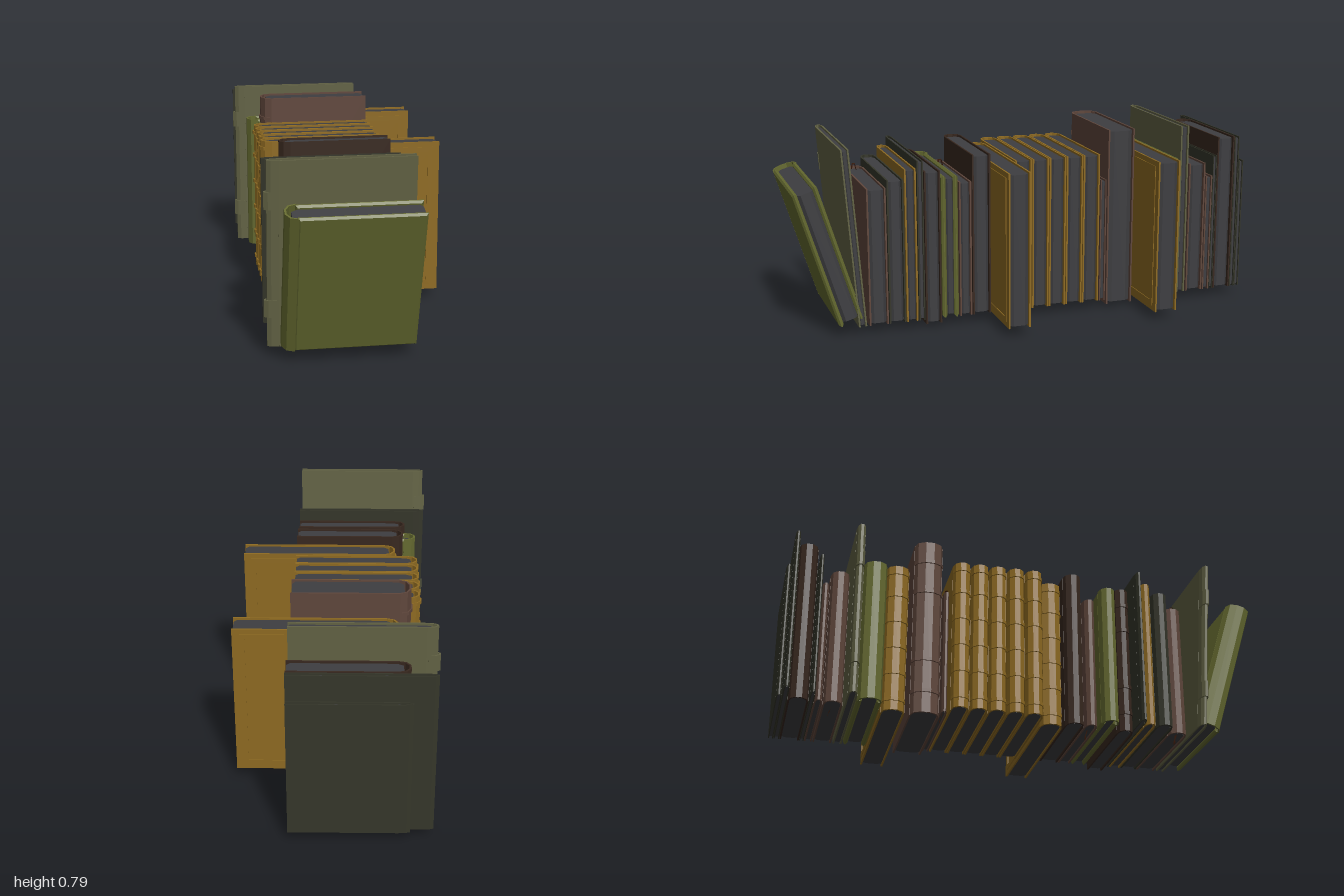
import * as THREE from 'three';

const material = (name, color) => {
  const m = new THREE.MeshStandardMaterial({ color, side: THREE.DoubleSide });
  m.name = name;
  return m;
};

export function createModel() {
  const gold = material('gold cloth', 0x8f6b22);
  const green = material('moss green cloth', 0x656a30);
  const sage = material('sage cloth', 0x626244);
  const brown = material('brown leather', 0x60473c);
  const umber = material('dark umber leather', 0x38281f);
  const slate = material('dark olive cloth', 0x35362a);
  const paper = material('grey pages', 0x3e3e41);
  const ribbonMat = material('ribbon', 0x4a2412);

  const row = new THREE.Group();
  row.name = 'bookRow';

  const add = (parent, name, geometry, mat) => {
    const mesh = new THREE.Mesh(geometry, mat);
    mesh.name = name;
    parent.add(mesh);
    return mesh;
  };

  // Extrudes a plan outline of [x, z] points upwards from y0 to y1
  const prism = (points, y0, y1) => {
    const shape = new THREE.Shape(points.map(([x, z]) => new THREE.Vector2(x, z)));
    const g = new THREE.ExtrudeGeometry(shape, { depth: y1 - y0, bevelEnabled: false });
    return g.rotateX(-Math.PI / 2).translate(0, y0, 0);
  };

  // Faceted hollow spine, h is half the book's thickness
  const spineOutline = (xs, xb, h, grow = 0) => {
    const wall = Math.min(0.006, h * 0.35);
    const half = (d) => {
      const k = h - d;
      return [[xb, k], [xs + 0.016 + d - grow, k * 0.8], [xs + d * 1.3 - grow, k * 0.3]];
    };
    const loop = (d) => [...half(d), ...half(d).reverse().map(([x, z]) => [x, -z])];
    return [...loop(0), ...loop(wall).reverse()];
  };

  // Thin rectangular moulding on a cover
  const frameGeometry = (x0, x1, y0, y1, w, depth) => {
    const rect = (T, a, b, c, d) => {
      const s = new T();
      s.moveTo(a, c);
      s.lineTo(b, c);
      s.lineTo(b, d);
      s.lineTo(a, d);
      s.closePath();
      return s;
    };
    const s = rect(THREE.Shape, x0, x1, y0, y1);
    s.holes.push(rect(THREE.Path, x0 + w, x1 - w, y0 + w, y1 - w));
    return new THREE.ExtrudeGeometry(s, { depth, bevelEnabled: false });
  };

  // Padded board with bevelled edges
  const paddedBoard = (x0, x1, height, t) => {
    const b = t * 0.4;
    const s = new THREE.Shape();
    s.moveTo(x0 + b, b);
    s.lineTo(x1 - b, b);
    s.lineTo(x1 - b, height - b);
    s.lineTo(x0 + b, height - b);
    s.closePath();
    return new THREE.ExtrudeGeometry(s, {
      depth: t - 2 * b, bevelThickness: b, bevelSize: b, bevelSegments: 1,
    }).translate(0, 0, b - t / 2);
  };

  // One closed book with its foot at the group's origin
  function book({ z, y = 0.04, top, xs, x1 = 0.175, mat, bands = [], bandHeight = 0.014,
    bandGrow = 0.006, padded = false, frame = false, ribbon = null, tilt = 0 }) {
    const g = new THREE.Group();
    g.name = 'book';
    const [za, zb] = z;
    const t = Math.abs(za - zb) - 0.002;
    const h = t / 2;
    const height = top - y;
    const xb = xs + 0.045;
    const bt = padded ? 0.02 : Math.min(0.007, t * 0.2);
    const inset = padded ? 0.014 : 0.008;

    // Cover boards
    for (const s of [-1, 1]) {
      const geo = padded ? paddedBoard(xb, x1, height, bt)
        : new THREE.BoxGeometry(x1 - xb, height, bt).translate((xb + x1) / 2, height / 2, 0);
      add(g, 'coverBoard', geo, mat).position.z = s * (h - bt / 2);
      if (frame) {
        const f = frameGeometry(xb + 0.03, x1 - 0.03, 0.022, height - 0.022, 0.02, 0.003);
        add(g, 'coverFrame', f, mat).position.z = s > 0 ? h : -h - 0.003;
      }
    }

    // Page block with softened corners
    const p = h - bt;
    const e = x1 - 0.004;
    const c = Math.min(0.012, p * 0.5);
    const pages = [[xb - 0.018, -p * 0.6], [xb + 0.005, -p], [e - c, -p], [e, -p * 0.6],
      [e, p * 0.6], [e - c, p], [xb + 0.005, p], [xb - 0.018, p * 0.6]];
    add(g, 'pages', prism(pages, inset, height - inset), paper);

    // Spine and its raised bands
    add(g, 'spine', prism(spineOutline(xs, xb + 0.004, h), 0, height), mat);
    for (const b of bands) {
      const y0 = b * height - bandHeight / 2;
      add(g, 'spineBand', prism(spineOutline(xs, xb - 0.008, h + 0.001, bandGrow), y0, y0 + bandHeight), mat);
    }

    // Bookmark ribbon: a loop at the head and a tail below the foot
    if (ribbon !== null) {
      const strip = (pts) => {
        const pos = [];
        const index = [];
        pts.forEach(([x, yy, zz], i) => {
          pos.push(x - 0.011, yy, zz, x + 0.011, yy, zz);
          if (i) index.push(2 * i - 2, 2 * i - 1, 2 * i, 2 * i, 2 * i - 1, 2 * i + 1);
        });
        const geo = new THREE.BufferGeometry();
        geo.setAttribute('position', new THREE.Float32BufferAttribute(pos, 3));
        geo.setIndex(index);
        geo.computeVertexNormals();
        return geo;
      };
      add(g, 'ribbonTail', strip([[ribbon + 0.01, 0.02, 0], [ribbon + 0.006, -0.005, -0.004],
        [ribbon, -0.022, -0.012], [ribbon - 0.006, -y, -0.014]]), ribbonMat);
      add(g, 'ribbonHead', strip([[ribbon - 0.02, height - 0.01, 0.006],
        [ribbon - 0.02, height + 0.012, 0.002], [ribbon, height + 0.018, -0.004],
        [ribbon + 0.01, height - 0.01, -0.008]]), ribbonMat);
    }

    g.position.set(0, y, (za + zb) / 2);
    g.rotation.x = tilt;
    row.add(g);
    return g;
  }

  // Shared book designs
  const moss = { top: 0.65, xs: -0.345, mat: green, padded: true };
  const tall = { top: 0.79, xs: -0.393, mat: sage, bands: [0.21, 0.79], bandHeight: 0.07, bandGrow: 0.011 };
  const ribboned = { top: 0.62, xs: -0.28, mat: brown };
  const gilt = { top: 0.693, xs: -0.342, mat: gold, bands: [0.07, 0.25, 0.43, 0.61, 0.79, 0.95] };
  const pulled = { ...gilt, xs: -0.25, x1: 0.4, frame: true };
  const heavy = { y: 0.02, xs: -0.3, mat: brown, bands: [0.12, 0.3, 0.7, 0.88] };

  // Leaning pair at the front
  book({ ...moss, y: 0.062, top: 0.66, z: [0.832, 0.724], tilt: 0.296 });
  book({ ...tall, z: [0.75, 0.714], tilt: 0.073 });

  // Upright row, front to back
  book({ ...ribboned, z: [0.705, 0.622], ribbon: -0.24 });
  book({ z: [0.62, 0.548], top: 0.65, xs: -0.35, mat: slate });
  book({ z: [0.546, 0.495], top: 0.69, xs: -0.345, mat: gold });
  book({ z: [0.493, 0.465], top: 0.722, xs: -0.385, mat: slate });
  book({ ...heavy, z: [0.463, 0.393], top: 0.675, mat: umber });
  book({ ...moss, z: [0.39, 0.317] });
  book({ ...ribboned, z: [0.315, 0.26], ribbon: -0.2 });
  book({ z: [0.258, 0.177], top: 0.73, xs: -0.285, mat: umber });
  book({ ...pulled, z: [0.175, 0.078] });
  for (let i = 0; i < 5; i++) {
    const z0 = 0.07 - i * 0.077;
    book({ ...gilt, z: [z0, z0 - 0.076] });
  }
  book({ ...ribboned, z: [-0.317, -0.346], top: 0.58, ribbon: -0.24 });
  book({ ...heavy, z: [-0.35, -0.472], top: 0.795 });
  book({ ...pulled, z: [-0.482, -0.582] });
  book({ ...moss, z: [-0.587, -0.687] });
  book({ ...tall, z: [-0.69, -0.73] });
  book({ ...ribboned, z: [-0.735, -0.815], ribbon: -0.2 });
  book({ z: [-0.817, -0.85], top: 0.56, xs: -0.28, mat: brown });
  book({ z: [-0.85, -0.87], top: 0.65, xs: -0.355, mat: slate });
  book({ z: [-0.87, -0.953], top: 0.73, xs: -0.285, mat: umber });
  book({ z: [-0.953, -0.977], top: 0.728, xs: -0.385, mat: slate });
  book({ z: [-0.977, -1.0], top: 0.62, xs: -0.295, mat: slate });

  return row;
}
